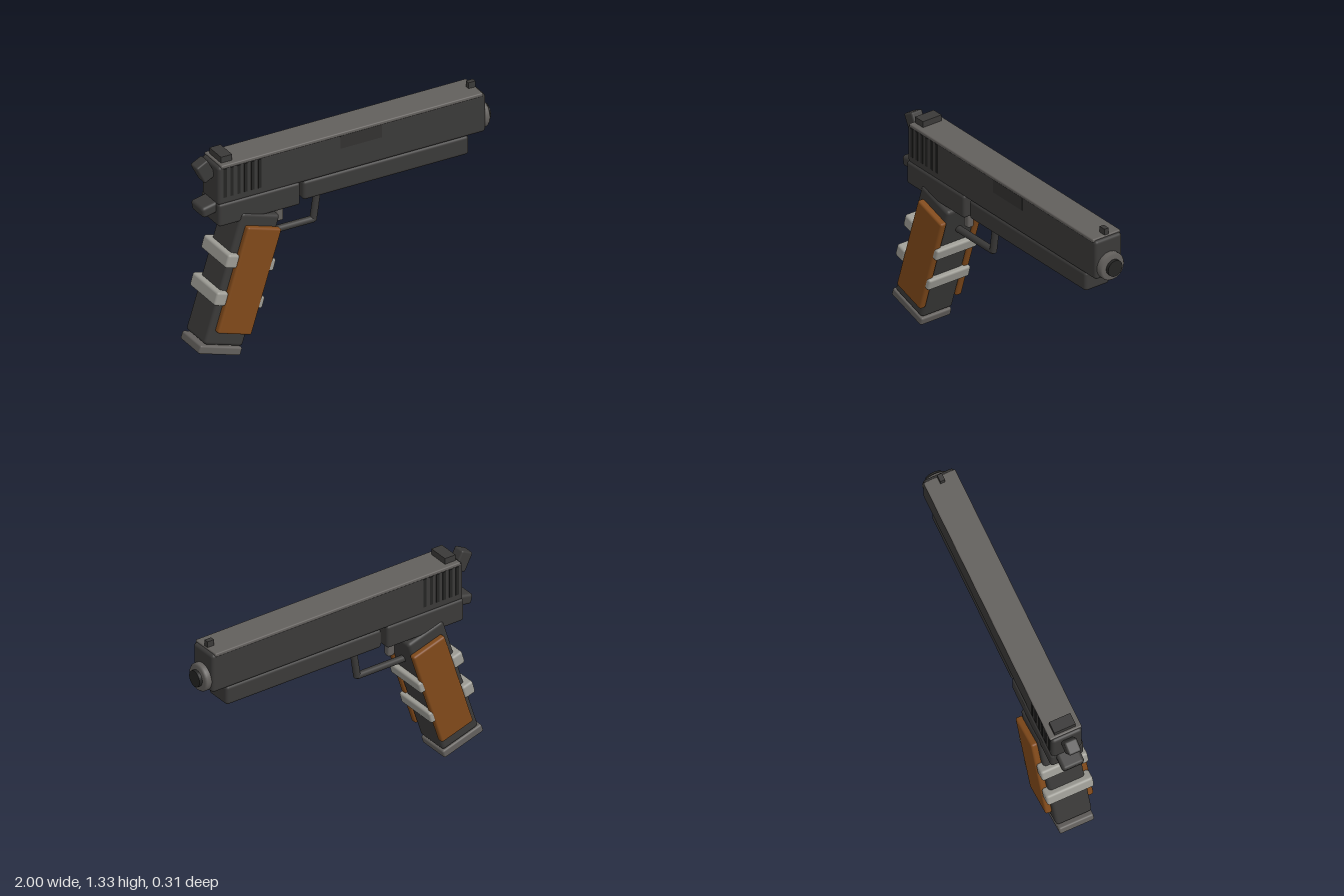
import * as THREE from 'three';
import { RoundedBoxGeometry } from 'three/addons/geometries/RoundedBoxGeometry.js';

const mat = (color) => new THREE.MeshStandardMaterial({ color });

export function createModel() {
  const model = new THREE.Group();
  model.name = 'pistol';
  const dark = mat(0x3a3938), black = mat(0x242423), steel = mat(0x625f5c);
  const wood = mat(0x80491a), pale = mat(0x9c9b94);

  const add = (name, geometry, material, x, y, z = 0, tilt = 0, parent = model) => {
    const mesh = new THREE.Mesh(geometry, material);
    mesh.name = name;
    mesh.position.set(x, y, z);
    mesh.rotation.z = tilt;
    parent.add(mesh);
    return mesh;
  };
  const rounded = (w, h, d, r) => new RoundedBoxGeometry(w, h, d, 3, r);

  // round bar between two points in the middle plane
  const rod = (name, x0, y0, x1, y1, r) => add(name,
    new THREE.CylinderGeometry(r, r, Math.hypot(x1 - x0, y1 - y0), 16), dark,
    (x0 + x1) / 2, (y0 + y1) / 2, 0, Math.atan2(x0 - x1, y1 - y0));

  // slide and frame
  add('slide', rounded(1.8, 0.255, 0.196, 0.02), dark, 0.04, 1.158);
  add('topStrip', rounded(1.76, 0.024, 0.204, 0.008), steel, 0.04, 1.284);
  add('rearFrame', rounded(0.55, 0.15, 0.212, 0.018), dark, -0.585, 0.967);
  add('frontFrame', rounded(1.115, 0.125, 0.18, 0.02), dark, 0.275, 0.967);

  // slide details
  for (const side of [1, -1]) {
    for (let i = 0; i < 6; i++) {
      add('serration', new THREE.BoxGeometry(0.021, 0.19, 0.01), black,
        -0.815 + i * 0.0465, 1.175, side * 0.096);
    }
  }
  add('ejectionPort', new THREE.BoxGeometry(0.28, 0.085, 0.01), black, 0.1, 1.232, 0.0955).material = mat(0x323130);
  add('rearSight', new THREE.BoxGeometry(0.075, 0.048, 0.136), dark, -0.787, 1.311);
  add('frontSight', new THREE.BoxGeometry(0.046, 0.048, 0.03), dark, 0.893, 1.311);

  // muzzle, a turned collar with a dark bore plug
  const collar = [[0, 0], [0.083, 0], [0.088, 0.006], [0.088, 0.042], [0.078, 0.055], [0, 0.055]];
  const turned = [];
  for (const [r, h] of collar) turned.push(new THREE.Vector2(r, h));
  add('muzzleCollar', new THREE.LatheGeometry(turned, 32), steel, 0.925, 1.105, 0, -Math.PI / 2);
  add('bore', new THREE.CylinderGeometry(0.052, 0.052, 0.05, 32), black, 0.975, 1.105, 0, -Math.PI / 2);

  // hammer and tail
  add('hammer', rounded(0.086, 0.128, 0.08, 0.012), dark, -0.906, 1.244, 0, 0.48);
  add('tail', rounded(0.17, 0.07, 0.14, 0.02), dark, -0.865, 1.005, 0, 0.2);

  // trigger and guard
  add('trigger', rounded(0.048, 0.15, 0.045, 0.012), steel, -0.4, 0.845);
  rod('guardBottom', -0.56, 0.71, -0.165, 0.71, 0.022);
  rod('guardFront', -0.167, 0.705, -0.135, 0.92, 0.022);

  // leaning grip, built upright in its own frame
  const grip = new THREE.Group();
  grip.name = 'grip';
  grip.position.set(-0.705, 0.505, 0);
  grip.rotation.z = -0.305;
  model.add(grip);
  add('gripCore', rounded(0.27, 0.85, 0.23, 0.022), dark, 0, 0, 0, 0, grip);
  for (const side of [1, -1]) {
    add('gripPanel', rounded(0.238, 0.685, 0.045, 0.014), wood, 0.025, 0.01, side * 0.132, 0, grip);
  }
  add('basePlate', rounded(0.295, 0.054, 0.222, 0.012), steel, -0.008, -0.458, 0, 0, grip);

  // cross straps on the back and front of the grip
  for (const [x, y] of [[-0.79, 0.665], [-0.865, 0.435]]) {
    add('rearStrap', rounded(0.08, 0.088, 0.3, 0.016), pale, x, y, 0, -0.28);
  }
  for (const [x, y] of [[-0.535, 0.575], [-0.61, 0.345]]) {
    add('frontStrap', rounded(0.056, 0.078, 0.304, 0.014), pale, x, y, 0, -0.28);
  }
  return model;
}
